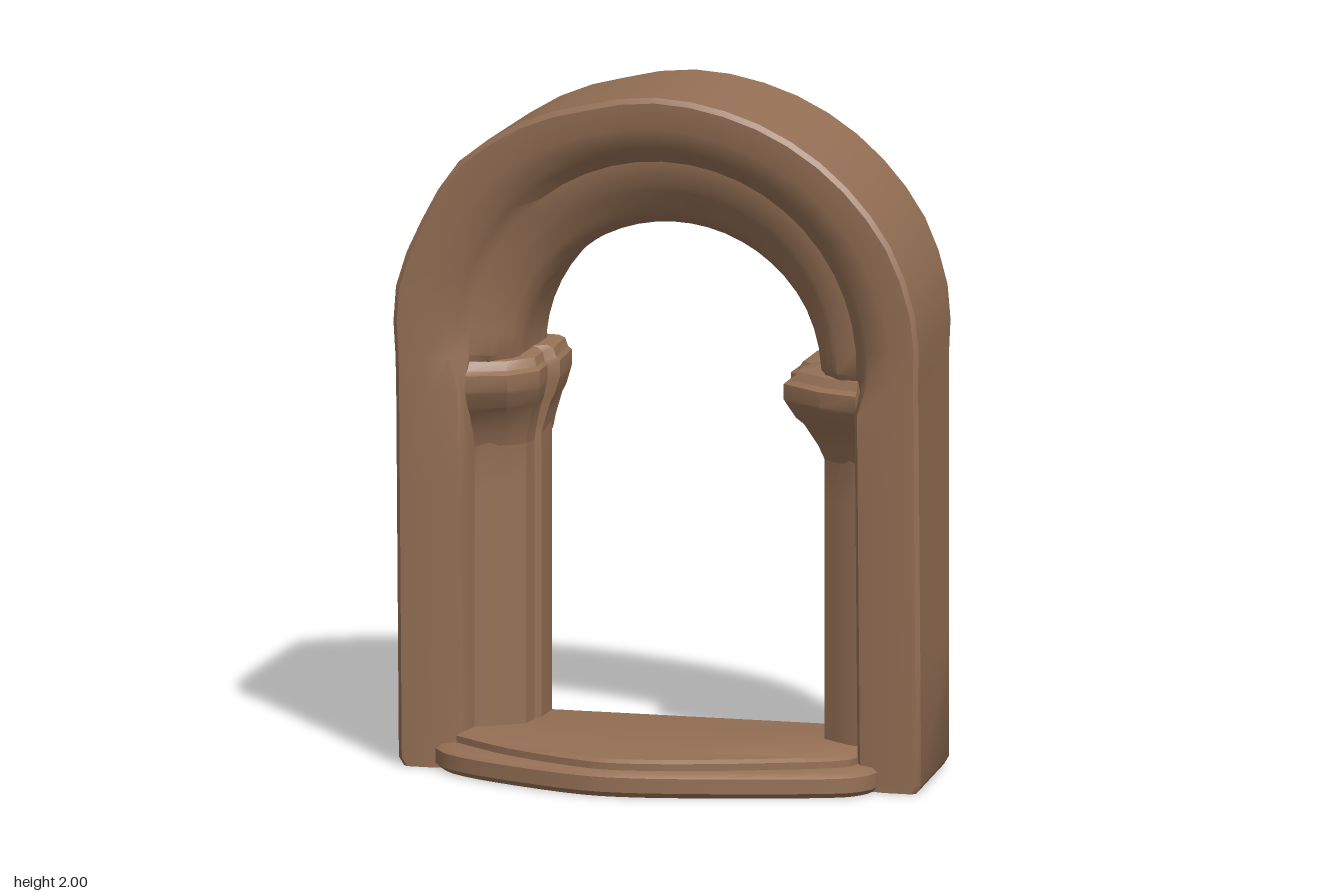
import * as THREE from 'three';
import { toCreasedNormals } from 'three/addons/utils/BufferGeometryUtils.js';

const lerp = THREE.MathUtils.lerp;
const stone = new THREE.MeshStandardMaterial({ color: 0x957055 });
stone.name = 'brown stone';

// Skin over closed cross-sections, with a fan closing each end
function loft(name, sections, crease) {
  const pos = [];
  const tri = (a, b, c) => pos.push(...a, ...b, ...c);
  const n = sections[0].length;
  const centre = (sec) => [0, 1, 2].map((i) => sec.reduce((sum, p) => sum + p[i], 0) / n);
  for (let s = 0; s < sections.length - 1; s++) {
    for (let k = 0; k < n; k++) {
      const j = (k + 1) % n;
      const a = sections[s][k], b = sections[s + 1][k];
      const c = sections[s][j], d = sections[s + 1][j];
      tri(a, b, c);
      tri(b, d, c);
    }
  }
  const first = sections[0], last = sections[sections.length - 1];
  const c0 = centre(first), c1 = centre(last);
  for (let k = 0; k < n; k++) {
    const j = (k + 1) % n;
    tri(c0, first[k], first[j]);
    tri(c1, last[j], last[k]);
  }
  const geometry = new THREE.BufferGeometry();
  geometry.setAttribute('position', new THREE.Float32BufferAttribute(pos, 3));
  const mesh = new THREE.Mesh(toCreasedNormals(geometry, crease), stone);
  mesh.name = name;
  return mesh;
}

// Frame profile: leg x, leg z, arch radius at the side, arch radius at the top,
// arch z, how far the front lean applies, how far the worn outline applies
const PROFILE = [
  [0.735, -0.333, 0.735, 0.775, -0.333, 0, 1],
  [0.747, -0.32, 0.747, 0.787, -0.32, 0, 1],
  [0.772, 0.085, 0.772, 0.80, 0.09, 1, 1],
  [0.76, 0.098, 0.76, 0.785, 0.10, 1, 1],
  [0.67, 0.098, 0.69, 0.71, 0.095, 1, 0.5],
  [0.59, 0.08, 0.62, 0.65, 0.07, 1, 0.3],
  [0.578, 0.06, 0.60, 0.63, 0.045, 1, 0],
  [0.57, -0.01, 0.57, 0.595, 0.055, 0, 0],
  [0.53, -0.025, 0.51, 0.525, 0.045, 0, 0],
  [0.48, -0.06, 0.49, 0.505, 0.025, 0, 0],
  [0.44, -0.09, 0.465, 0.45, 0.005, 0, 0],
  [0.43, -0.15, 0.445, 0.42, -0.03, 0, 0],
  [0.445, -0.165, 0.44, 0.395, -0.07, 0, 0],
  [0.418, -0.185, 0.435, 0.39, -0.17, 0, 0],
  [0.415, -0.29, 0.43, 0.395, -0.29, 0, 0],
  [0.425, -0.333, 0.44, 0.41, -0.333, 0, 0],
];
// Worn outline, every 15 degrees over the arch
const WEAR = [0, 0.012, 0.015, 0.009, 0.004, 0, 0, -0.005, 0.014, 0.03, 0.015, 0.017, 0];
const SPRING = 1.2;

function frame() {
  // The front leans out towards the top and is slightly bowed and twisted
  const place = (x, y, z, lean) => {
    const h = Math.min(1, y / 1.4), u = x / 0.77;
    return [x, y, z + lean * (0.055 * h + 0.012 * u - 0.015 * u * u * h)];
  };
  const leg = (side, y) => PROFILE.map(([x, z, , , , lean, worn]) =>
    place(side * (x - (y === 0 ? 0.015 * worn : 0)), y, z, lean));
  const arch = (step) => PROFILE.map(([, , rSide, rTop, z, lean, worn]) => {
    const a = (step / 24) * Math.PI;
    const i = Math.floor(step / 2);
    const wear = lerp(WEAR[i], WEAR[Math.min(i + 1, 12)], (step % 2) / 2);
    const r = lerp(rSide, rTop, Math.sin(a)) + wear * worn;
    return place(r * Math.cos(a), SPRING + r * Math.sin(a), z, lean);
  });
  const heights = [0, 0.025, 0.4, 0.8, 1.1];
  const sections = heights.map((y) => leg(1, y));
  for (let step = 0; step <= 24; step++) sections.push(arch(step));
  heights.reverse().forEach((y) => sections.push(leg(-1, y)));
  return loft('archFrame', sections, 0.65);
}

// Capital: plan on the jamb and plan at full overhang, blended by height
function capital(side, reach) {
  const base = [[0.57, -0.325], [0.57, -0.01], [0.49, -0.05], [0.44, -0.09],
    [0.43, -0.15], [0.45, -0.165], [0.42, -0.185], [0.42, -0.325], [0.48, -0.325]];
  const full = [[0.58, -0.338], [0.575, 0.085], [0.46, 0.05], [reach + 0.02, -0.04],
    [reach + 0.02, -0.13], [reach + 0.05, -0.16], [reach, -0.2], [reach + 0.005, -0.355], [0.46, -0.36]];
  const steps = [[0.92, 0], [0.96, 0.15], [1.025, 0.5], [1.045, 0.7], [1.09, 0.95],
    [1.1, 1], [1.145, 1], [1.155, 0.8], [1.18, 0.65], [1.19, 0.3]];
  const sections = steps.map(([y, f]) => {
    const ring = base.map(([x, z], i) => [side * lerp(x, full[i][0], f), y, lerp(z, full[i][1], f)]);
    return side < 0 ? ring.reverse() : ring;
  });
  return loft(side > 0 ? 'leftCapital' : 'rightCapital', sections, 0.5);
}

// Threshold with a bowed front and a raised upper layer
function sill() {
  const smooth = (points) => new THREE.SplineCurve(points.map((p) => new THREE.Vector2(...p))).getPoints(24);
  const lower = smooth([[0.645, 0.1], [0.62, 0.17], [0.53, 0.23], [0.2, 0.318], [-0.05, 0.36],
    [-0.22, 0.34], [-0.46, 0.25], [-0.6, 0.17], [-0.66, 0.09]]);
  const upper = smooth([[0.58, 0.09], [0.52, 0.16], [0.2, 0.28], [-0.05, 0.335], [-0.2, 0.31],
    [-0.42, 0.21], [-0.6, 0.08]]);
  const ring = (front, y, inset, back) => [
    [0.56, y, back],
    ...front.map((p) => [p.x * (1 - inset), y, p.y - inset * 0.6]),
    [-0.56, y, back],
  ];
  return loft('sill', [
    ring(lower, 0, 0.02, -0.32),
    ring(lower, 0.015, 0, -0.33),
    ring(lower, 0.058, 0, -0.333),
    ring(lower, 0.07, 0.02, -0.333),
    ring(upper, 0.075, 0, -0.33),
    ring(upper, 0.095, 0, -0.32),
    ring(upper, 0.105, 0.02, -0.295),
  ], 0.6);
}

export function createModel() {
  const model = new THREE.Group();
  model.name = 'stoneArch';
  model.add(frame(), capital(1, 0.312), capital(-1, 0.367), sill());
  return model;
}
